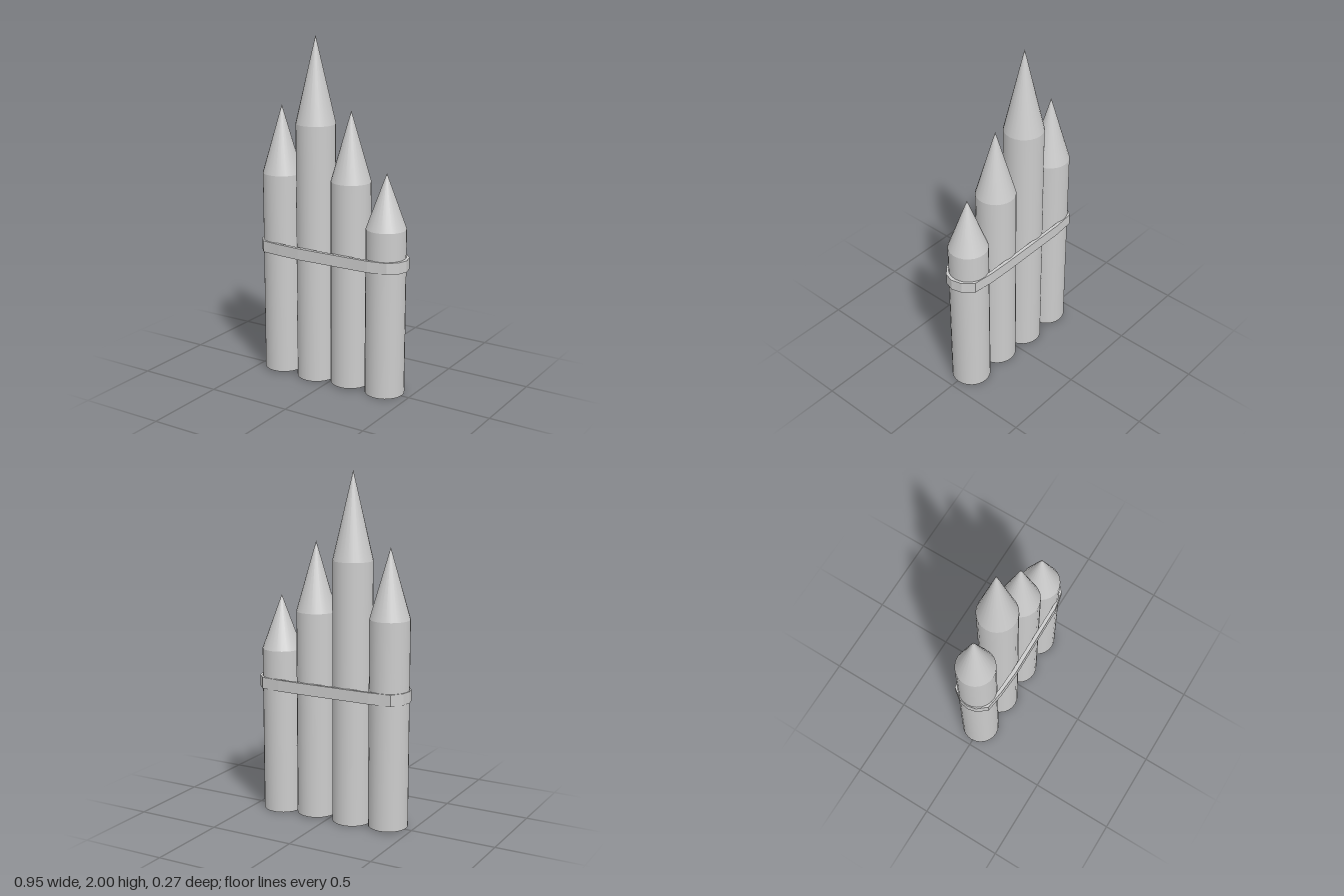
import * as THREE from 'three';

const RADIUS = 0.114;
const SIDES = 24;
const AXIS_Z = -0.007;

// x centre, foot height, shoulder height, tip height
const PIPES = [
  [-0.355, 0.01, 1.2, 1.595],
  [-0.124, 0, 1.508, 2],
  [0.109, 0.01, 1.205, 1.603],
  [0.338, 0, 0.967, 1.28],
];

// Band outline seen from above, as [x, z]
const BAND_OUTER = [
  [-0.475, 0], [-0.466, -0.055], [-0.418, -0.12], [-0.29, -0.132], [0.15, -0.134], [0.29, -0.131],
  [0.405, -0.118], [0.457, -0.062], [0.473, 0], [0.455, 0.055], [0.405, 0.102],
  [0.295, 0.124], [-0.16, 0.132], [-0.3, 0.123], [-0.418, 0.107], [-0.464, 0.052],
];
const BAND_INNER = [
  [-0.452, 0], [-0.44, -0.05], [-0.4, -0.101], [-0.3, -0.113], [0.15, -0.113], [0.29, -0.113],
  [0.39, -0.1], [0.437, -0.055], [0.45, 0], [0.437, 0.045], [0.39, 0.086],
  [0.29, 0.104], [-0.16, 0.108], [-0.3, 0.103], [-0.4, 0.088], [-0.44, 0.045],
];

export function createModel() {
  const model = new THREE.Group();
  model.name = 'banded pointed pipes';
  const material = new THREE.MeshStandardMaterial({ color: 0xcccccc });

  // Four round shafts with conical tips
  PIPES.forEach(([x, foot, shoulder, tip], i) => {
    const pipe = new THREE.Group();
    pipe.name = `pipe${i + 1}`;
    pipe.position.set(x, 0, AXIS_Z);

    const shaft = new THREE.Mesh(
      new THREE.CylinderGeometry(RADIUS, RADIUS, shoulder - foot, SIDES), material);
    shaft.name = 'shaft';
    shaft.position.y = (foot + shoulder) / 2;

    const point = new THREE.Mesh(
      new THREE.ConeGeometry(RADIUS, tip - shoulder, SIDES, 1, true), material);
    point.name = 'tip';
    point.position.y = (shoulder + tip) / 2;

    pipe.add(shaft, point);
    model.add(pipe);
  });

  // Flat strap wrapped around the row
  const toPoints = (list) => list.map(([x, z]) => new THREE.Vector2(x, z));
  const outline = new THREE.Shape(toPoints(BAND_OUTER));
  outline.holes.push(new THREE.Path(toPoints(BAND_INNER)));
  const bandGeometry = new THREE.ExtrudeGeometry(outline, { depth: 0.066, bevelEnabled: false });
  bandGeometry.rotateX(Math.PI / 2);
  const band = new THREE.Mesh(bandGeometry, material);
  band.name = 'band';
  band.position.y = 0.805;
  model.add(band);

  return model;
}
